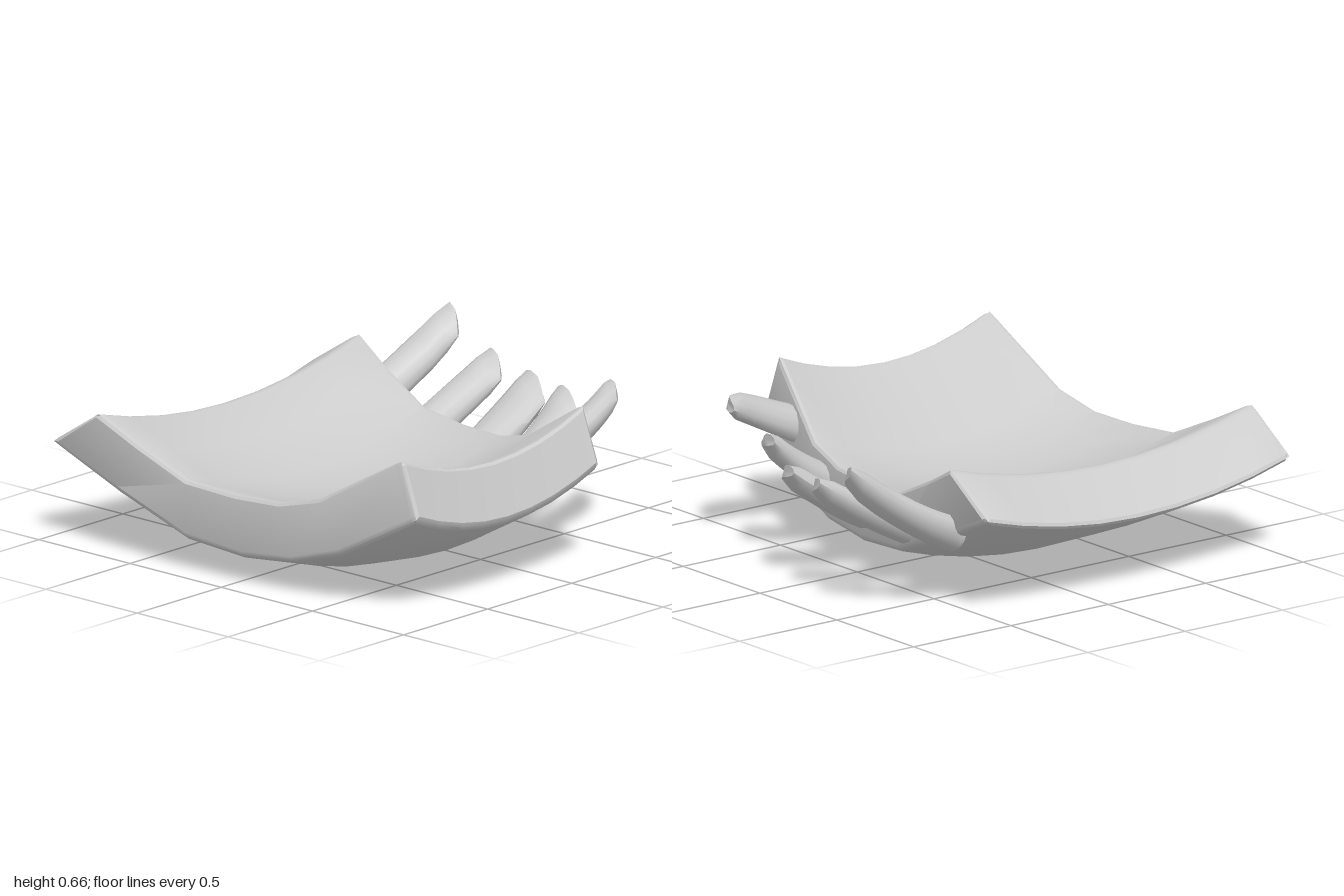
import * as THREE from 'three';
import { toCreasedNormals } from 'three/addons/utils/BufferGeometryUtils.js';

const material = new THREE.MeshStandardMaterial({ color: 0xcccccc, side: THREE.DoubleSide });

// Stations across the slab: bottom x, bottom y, top x, top y, back z, front z
const stations = [
  [-0.945, 0.43, -0.68, 0.60, -0.57, 1.0],
  [-0.60, 0.28, -0.48, 0.50, -0.525, 0.975],
  [-0.25, 0.145, -0.25, 0.395, -0.49, 0.945],
  [0.04, 0.12, 0.0, 0.38, -0.455, 0.925],
  [0.30, 0.145, 0.22, 0.385, -0.425, 0.905],
  [0.54, 0.22, 0.42, 0.435, -0.39, 0.885],
  [0.945, 0.435, 0.855, 0.68, -0.235, 0.855],
];
const SAG = 0.12;

function station(s) {
  const f = s * (stations.length - 1);
  const i = Math.min(Math.floor(f), stations.length - 2);
  return stations[i].map((a, k) => THREE.MathUtils.lerp(a, stations[i + 1][k], f - i));
}

function finish(geometry, crease) {
  return toCreasedNormals(geometry, crease);
}

// A box bent into a shallow bowl, with narrow bevels along its edges
function slabGeometry() {
  const segments = [8, 3, 10];
  const bevel = [0.013, 0.09, 0.017];
  const geometry = new THREE.BoxGeometry(1, 1, 1, ...segments);
  const pos = geometry.attributes.position;
  for (let i = 0; i < pos.count; i++) {
    const raw = [pos.getX(i), pos.getY(i), pos.getZ(i)].map((v) => v + 0.5);
    const index = raw.map((v, k) => Math.round(v * segments[k]));
    const atEnd = index.map((n, k) => n === 0 || n === segments[k]);
    const onEdge = atEnd.filter(Boolean).length > 1;
    const [s, h, t] = index.map((n, k) => {
      const last = segments[k];
      const pull = onEdge ? bevel[k] * 0.35 : 0;
      if (n === 0) return pull;
      if (n === last) return 1 - pull;
      if (n === 1) return bevel[k];
      if (n === last - 1) return 1 - bevel[k];
      return (n - 1) / (last - 2);
    });
    const [bx, by, tx, ty, back, front] = station(s);
    const u = 2 * t - 1;
    pos.setXYZ(
      i,
      THREE.MathUtils.lerp(bx, tx, h),
      THREE.MathUtils.lerp(by, ty, h) - SAG * (1 - u * u),
      THREE.MathUtils.lerp(back, front, t)
    );
  }
  return finish(geometry, 0.5);
}

// Horns: left and right edges as [x, z] from root to tip,
// rise = [start z, start y, slope, curve], tilt = sideways lean
const horns = [
  {
    left: [[-0.69, -0.48], [-0.685, -0.62], [-0.645, -0.83], [-0.585, -0.99]],
    right: [[-0.54, -0.48], [-0.535, -0.62], [-0.51, -0.77], [-0.475, -0.89]],
    tip: [-0.535, -1.0], rise: [-0.5, 0.30, 0.4, 0.65], tilt: -0.3,
  },
  {
    left: [[-0.375, -0.42], [-0.37, -0.58], [-0.35, -0.76], [-0.31, -0.93]],
    right: [[-0.205, -0.42], [-0.205, -0.55], [-0.195, -0.7], [-0.17, -0.83]],
    tip: [-0.26, -0.945], rise: [-0.45, 0.24, 0.4, 0.35], tilt: -0.15,
  },
  {
    left: [[-0.06, -0.38], [-0.06, -0.54], [-0.06, -0.7], [-0.05, -0.86]],
    right: [[0.145, -0.38], [0.145, -0.5], [0.145, -0.64], [0.145, -0.77]],
    tip: [0.01, -0.875], rise: [-0.4, 0.22, 0.4, 0.4], tilt: 0,
  },
  {
    left: [[0.275, -0.32], [0.275, -0.46], [0.275, -0.58], [0.265, -0.71]],
    right: [[0.445, -0.32], [0.445, -0.42], [0.445, -0.53], [0.445, -0.64]],
    tip: [0.31, -0.72], rise: [-0.34, 0.26, 0.5, 0.6], tilt: 0.1,
  },
  {
    left: [[0.58, -0.27], [0.58, -0.42], [0.57, -0.58], [0.535, -0.705]],
    right: [[0.73, -0.24], [0.735, -0.36], [0.73, -0.48], [0.71, -0.585]],
    tip: [0.58, -0.72], rise: [-0.28, 0.43, 0.4, 0.15], tilt: 0.3,
  },
];

const edgeCurve = (points) =>
  new THREE.CatmullRomCurve3(points.map(([x, z]) => new THREE.Vector3(x, 0, z)));

// A flattened tube swept between the two edges, with a slanted, blunt tip
function hornGeometry({ left, right, tip, rise, tilt }) {
  const rows = 8;
  const geometry = new THREE.CylinderGeometry(1, 1, 1, 12, rows);
  const pos = geometry.attributes.position;
  const a = edgeCurve(left);
  const b = edgeCurve(right);
  const middle = (left[0][0] + right[0][0]) / 2;
  const [z0, y0, slope, curve] = rise;
  for (let i = 0; i < pos.count; i++) {
    const v = pos.getY(i) + 0.5;
    const across = pos.getX(i);
    const side = Math.sign(across) * Math.pow(Math.abs(across), 0.8);
    const p = a.getPoint(v).lerp(b.getPoint(v), (side + 1) / 2);
    // Bulge the last rows toward the tip
    if (v > 0.8) {
      const near = 1 - Math.min(1, Math.abs(p.x - tip[0]) / 0.12);
      p.z += (Math.min(p.z, tip[1]) - p.z) * near * (v - 0.8) * 5 * 0.6;
    }
    const d = z0 - p.z;
    const half = THREE.MathUtils.lerp(0.07, 0.045, v) * (v > 0.99 ? 0.55 : 1);
    const up = pos.getZ(i) * half;
    const y = y0 + slope * d + curve * d * d + tilt * (p.x - middle);
    pos.setXYZ(i, p.x, y + up, p.z + up * 0.3);
  }
  return finish(geometry, 0.8);
}

export function createModel() {
  const model = new THREE.Group();
  model.name = 'curvedSlabWithHorns';

  const slab = new THREE.Mesh(slabGeometry(), material);
  slab.name = 'curvedSlab';
  model.add(slab);

  const row = new THREE.Group();
  row.name = 'hornRow';
  horns.forEach((horn, i) => {
    const mesh = new THREE.Mesh(hornGeometry(horn), material);
    mesh.name = `horn${i + 1}`;
    row.add(mesh);
  });
  model.add(row);
  return model;
}
